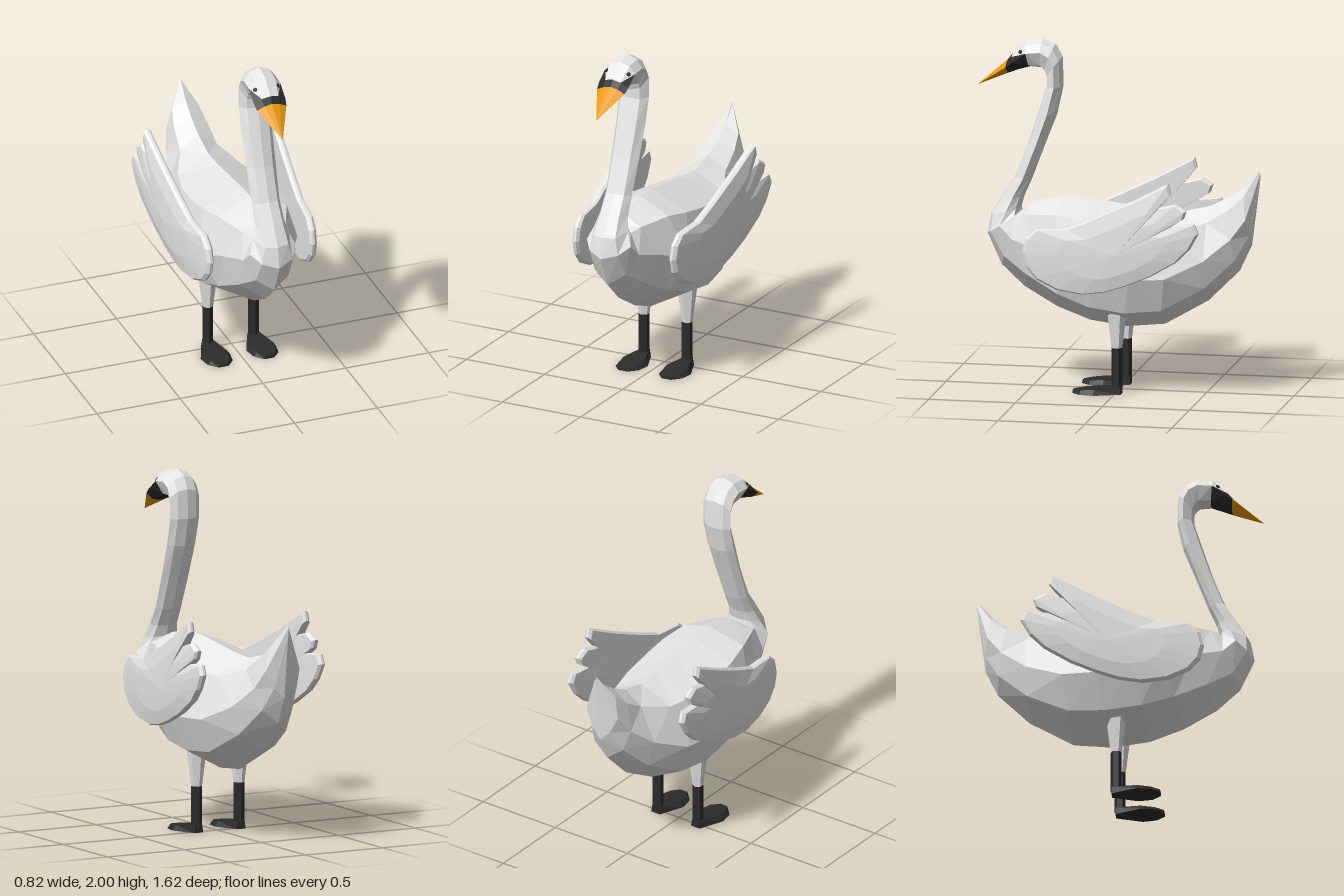
import * as THREE from 'three';

const mat = (name, color) => {
  const m = new THREE.MeshStandardMaterial({ color, flatShading: true });
  m.name = name;
  return m;
};

function meshFrom(name, positions, material) {
  const g = new THREE.BufferGeometry();
  g.setAttribute('position', new THREE.Float32BufferAttribute(positions, 3));
  g.computeVertexNormals();
  const m = new THREE.Mesh(g, material);
  m.name = name;
  return m;
}

// Cross-sections from beak tip to tail:
// top z, top y, bottom z, bottom y, half-widths (upper, middle, lower)
const headAndNeck = [
  [.81, 1.727, .81, 1.723, .001, .002, .001],
  [.645, 1.87, .635, 1.795, .045, .088, .05],
  [.618, 1.905, .585, 1.815, .05, .095, .055],
  [.535, 1.985, .515, 1.835, .06, .095, .055],
  [.44, 2.0, .45, 1.832, .06, .095, .06],
  [.37, 1.97, .43, 1.81, .06, .095, .06],
  [.33, 1.9, .42, 1.78, .06, .095, .06],
  [.325, 1.73, .42, 1.73, .06, .094, .06],
  [.36, 1.57, .465, 1.59, .06, .092, .06],
  [.43, 1.39, .525, 1.4, .055, .088, .055],
  [.505, 1.19, .6, 1.21, .055, .083, .055],
  [.55, 1.09, .672, 1.1, .06, .088, .06],
  [.565, 1.03, .738, .99, .075, .108, .07],
];
const trunk = [
  [.56, 1.01, .762, .87, .1, .14, .09],
  [.5, 1.06, .68, .69, .13, .155, .1],
  [.3, 1.1, .55, .57, .205, .215, .15],
  [.15, 1.09, .36, .46, .235, .3, .2],
  [0, 1.07, .17, .39, .24, .315, .235],
  [-.2, 1.045, -.04, .362, .23, .315, .24],
  [-.36, 1.035, -.26, .385, .19, .285, .215],
  [-.52, 1.075, -.51, .53, .11, .2, .155],
  [-.63, 1.13, -.69, .71, .1, .14, .1],
  [-.72, 1.195, -.76, .86, .08, .11, .06],
  [-.8, 1.29, -.81, 1.26, .001, .002, .001],
];

// Turn a cross-section into eight points; t gives the height of each width
const makeRing = ([t1, t2, t3]) => ([zt, yt, zb, yb, w1, w2, w3]) => {
  const widths = [0, w1, w2, w3, 0, -w3, -w2, -w1];
  const steps = [0, t1, t2, t3, 1, t3, t2, t1];
  return widths.map((x, j) => [x, yt + (yb - yt) * steps[j], zt + (zb - zt) * steps[j]]);
};

// Which part a face of the loft belongs to
function partOf(i, j, first) {
  if (i === 0) return 'beak';
  if (i === 1) return 'faceMask';
  if (i === 2 && ((j >= 2 && j <= 5) || ((j === 1 || j === 6) && first))) return 'faceMask';
  return i < headAndNeck.length - 1 ? 'headAndNeck' : 'body';
}

// Wing outline in (z, y), from the shoulder over the three feather tips
const wingOutline = [
  [.5, .83], [.48, .91], [.42, .965], [.24, .98], [.1, 1.04], [-.15, 1.16],
  [-.355, 1.27], [-.37, 1.215], [-.3, 1.13],
  [-.4, 1.155], [-.46, 1.12], [-.445, 1.075], [-.385, 1.035],
  [-.505, 1.045], [-.53, .99], [-.48, .9], [-.4, .82], [-.25, .73], [-.1, .665],
  [.02, .625], [.15, .605], [.3, .625], [.42, .68], [.48, .75],
];

// Wing: nested outlines from the flat inner face, over a bevelled rim, to the domed outer face
function wingPositions(side) {
  const [cz, cy] = [-.05, .85];
  const layers = [[0, -.026], [.965, -.022], [1, -.008], [1, .006], [.965, .022], [.6, .04], [0, .048]]
    .map(([scale, out]) => wingOutline.map(([z, y]) => {
      const zz = cz + (z - cz) * scale;
      return [side * (.31 + (.49 - zz) * .075 + out), cy + (y - cy) * scale, zz];
    }));
  const positions = [];
  const tri = (a, b, c) => positions.push(...a, ...(side > 0 ? [...b, ...c] : [...c, ...b]));
  for (let k = 0; k < layers.length - 1; k++) {
    for (let i = 0; i < wingOutline.length; i++) {
      const n = (i + 1) % wingOutline.length;
      const [a, b, c, d] = [layers[k][i], layers[k][n], layers[k + 1][n], layers[k + 1][i]];
      tri(a, d, c);
      if (k > 0) tri(a, c, b);
    }
  }
  return positions;
}

export function createModel() {
  const white = mat('white feathers', 0xe6e6e6);
  const black = mat('black skin', 0x2c2c2c);
  const orange = mat('orange beak', 0xf0a010);
  const swan = new THREE.Group();
  swan.name = 'swan';

  // Head, neck and body as one continuous loft, sorted into parts
  const rings = [
    ...headAndNeck.map(makeRing([.12, .4, .88])),
    ...trunk.map(makeRing([.14, .52, .82])),
  ];
  const parts = { beak: [], faceMask: [], headAndNeck: [], body: [] };
  for (let i = 0; i < rings.length - 1; i++) {
    for (let j = 0; j < 8; j++) {
      const n = (j + 1) % 8;
      const [a, b, c, d] = [rings[i][j], rings[i][n], rings[i + 1][n], rings[i + 1][j]];
      const tris = j < 4 ? [[a, b, c], [a, c, d]] : [[a, b, d], [b, c, d]];
      tris.forEach((t, k) => parts[partOf(i, j, k === 0)].push(...t.flat()));
    }
  }
  const colours = { beak: orange, faceMask: black, headAndNeck: white, body: white };
  for (const name in parts) swan.add(meshFrom(name, parts[name], colours[name]));

  for (const side of [1, -1]) {
    const label = side > 0 ? 'left' : 'right';

    // Eye: a thin disc lying on the cheek above the mask
    const cheek = [rings[2][1], rings[3][2], rings[3][1]].map(p => new THREE.Vector3(...p));
    const face = new THREE.Triangle(...cheek);
    const normal = face.getNormal(new THREE.Vector3());
    const spot = face.getMidpoint(new THREE.Vector3()).addScaledVector(normal, .002);
    normal.x *= side;
    spot.x *= side;
    const eye = new THREE.Mesh(new THREE.CylinderGeometry(.012, .012, .006, 8), black);
    eye.quaternion.setFromUnitVectors(new THREE.Vector3(0, 1, 0), normal);
    eye.position.copy(spot);
    eye.name = label + 'Eye';
    swan.add(eye);

    swan.add(meshFrom(label + 'Wing', wingPositions(side), white));

    // Leg: feathered thigh, shank and webbed foot
    const leg = new THREE.Group();
    leg.name = label + 'Leg';
    leg.position.set(side * .138, 0, -.01);
    const thigh = new THREE.Mesh(new THREE.CylinderGeometry(.058, .031, .22, 6), white);
    thigh.position.y = .375;
    thigh.name = 'thigh';
    const shank = new THREE.Mesh(new THREE.CylinderGeometry(.031, .031, .25, 6), black);
    shank.position.y = .145;
    shank.name = 'shank';
    const plan = [[-.03, .025], [.03, .025], [.088, -.12], [.075, -.2], [.03, -.25], [-.03, -.25], [-.075, -.2], [-.088, -.12]];
    const footGeo = new THREE.ExtrudeGeometry(
      new THREE.Shape(plan.map(p => new THREE.Vector2(...p))), { depth: 1, bevelEnabled: false });
    footGeo.rotateX(-Math.PI / 2);
    const pos = footGeo.attributes.position;
    for (let i = 0; i < pos.count; i++) {
      // top surface slopes down to the toes and narrows
      if (pos.getY(i) > .5) {
        pos.setY(i, .045 - .028 * (pos.getZ(i) + .025) / .275);
        pos.setX(i, pos.getX(i) * .75);
      }
    }
    footGeo.computeVertexNormals();
    const foot = new THREE.Mesh(footGeo, black);
    foot.name = 'foot';
    leg.add(thigh, shank, foot);
    swan.add(leg);
  }
  return swan;
}
